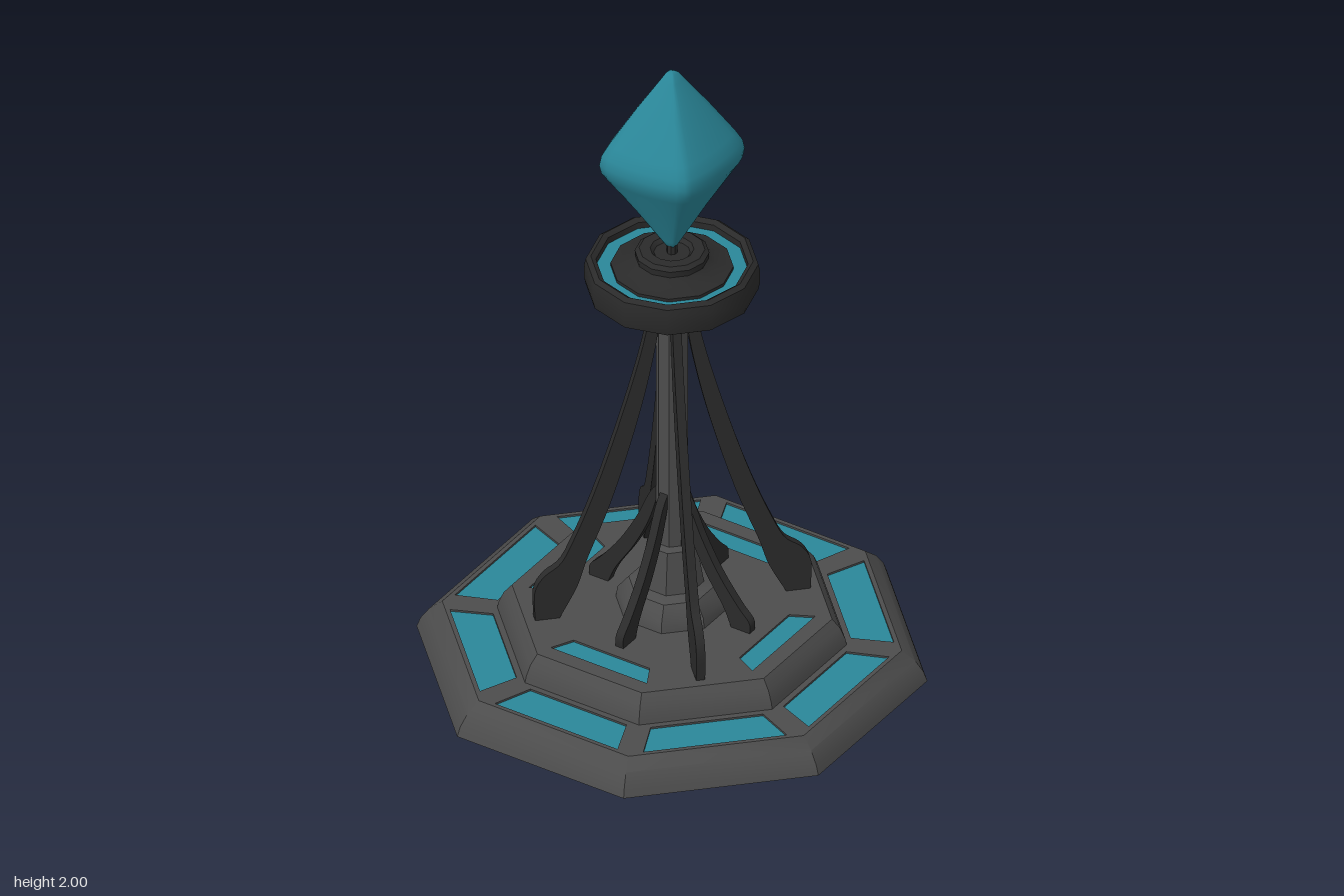
import * as THREE from 'three';
import { mergeVertices, toCreasedNormals } from 'three/addons/utils/BufferGeometryUtils.js';

const stone = new THREE.MeshStandardMaterial({ color: 0x4c4c4c });
const dark = new THREE.MeshStandardMaterial({ color: 0x2a2a2a });
const teal = new THREE.MeshStandardMaterial({ color: 0x2a8799 });

function add(parent, name, geometry, material) {
  const mesh = new THREE.Mesh(geometry, material);
  mesh.name = name;
  parent.add(mesh);
  return mesh;
}

// Regular prism-like solid: profile radii are measured to the flat sides
function faceted(profile, sides, crease = 0.6) {
  const k = 1 / Math.cos(Math.PI / sides);
  const pts = profile.map(([r, y]) => new THREE.Vector2(r * k, y));
  return toCreasedNormals(new THREE.LatheGeometry(pts, sides, Math.PI / sides), crease);
}

const shapeOf = (pts) => new THREE.Shape(pts.map(([x, y]) => new THREE.Vector2(x, y)));

// Corners of a trapezoid lying at a distance from the centre, turned by an angle
function trapezoid({ inner, outer, wIn, wOut }, angle, grow = 0) {
  const c = Math.cos(angle), s = Math.sin(angle);
  return [
    [inner - grow, -wIn - grow], [outer + grow, -wOut - grow],
    [outer + grow, wOut + grow], [inner - grow, wIn + grow],
  ].map(([x, y]) => [x * c - y * s, x * s + y * c]);
}

// Octagonal plate with recessed teal panels
function panelledPlate(parent, name, apothem, top, panel, angles) {
  const depth = 0.012;
  const R = apothem / Math.cos(Math.PI / 8);
  const outline = shapeOf(Array.from({ length: 8 }, (_, i) => {
    const a = (i + 0.5) * Math.PI / 4;
    return [R * Math.cos(a), R * Math.sin(a)];
  }));
  for (const a of angles) outline.holes.push(new THREE.Path(shapeOf(trapezoid(panel, a)).getPoints()));
  const plate = new THREE.ExtrudeGeometry(outline, { depth, bevelEnabled: false });
  plate.rotateX(-Math.PI / 2).translate(0, top - depth, 0);
  add(parent, name, plate, stone);
  for (const a of angles) {
    const g = new THREE.ExtrudeGeometry(shapeOf(trapezoid(panel, a, 0.004)), { depth: 0.01, bevelEnabled: false });
    g.rotateX(-Math.PI / 2).translate(0, top - 0.016, 0);
    add(parent, name + 'Panel', g, teal);
  }
}

// Curved upright fin: smooth outer and inner edges, given thickness
function finGeometry(outer, inner, thickness) {
  const curve = (pts) => new THREE.CatmullRomCurve3(
    pts.map(([x, y]) => new THREE.Vector3(x, y, 0)), false, 'centripetal').getPoints(28).map((p) => [p.x, p.y]);
  const shape = shapeOf([...curve(outer), ...curve(inner).reverse()]);
  const g = new THREE.ExtrudeGeometry(shape, { depth: thickness, bevelEnabled: false });
  return toCreasedNormals(g.translate(0, 0, -thickness / 2), 0.6);
}

// Softened four-sided gem, wider in x than in z
function crystalGeometry() {
  const profile = [[0, 1.4], [0.08, 1.403], [0.15, 1.425], [0.5, 1.537], [0.87, 1.646], [0.97, 1.675],
    [1, 1.705], [0.97, 1.735], [0.87, 1.77], [0.5, 1.88], [0.17, 1.97], [0.09, 1.993], [0, 2]];
  const g = new THREE.LatheGeometry(profile.map(([r, y]) => new THREE.Vector2(r, y)), 48);
  const p = g.attributes.position, e = 1.25;
  for (let i = 0; i < p.count; i++) {
    const x = p.getX(i), z = p.getZ(i), r = Math.hypot(x, z);
    if (r < 1e-6) continue;
    const k = Math.pow(Math.pow(Math.abs(x / r) / 0.21, e) + Math.pow(Math.abs(z / r) / 0.18, e), -1 / e);
    p.setXYZ(i, x * k, p.getY(i), z * k);
  }
  g.deleteAttribute('uv');
  g.deleteAttribute('normal');
  const merged = mergeVertices(g, 1e-5);
  merged.computeVertexNormals();
  return merged;
}

export function createModel() {
  const model = new THREE.Group();
  model.name = 'crystalBeacon';
  const eighths = Array.from({ length: 8 }, (_, i) => i * Math.PI / 4);
  const diagonals = eighths.filter((_, i) => i % 2);

  // Two-step octagonal base
  const base = new THREE.Group();
  base.name = 'base';
  model.add(base);
  add(base, 'lowerStep', faceted([[0, 0], [0.678, 0], [0.668, 0.03], [0.645, 0.065], [0.61, 0.095]], 8), stone);
  panelledPlate(base, 'lowerPlate', 0.61, 0.095,
    { inner: 0.482, outer: 0.597, wIn: 0.162, wOut: 0.207 }, eighths);
  add(base, 'upperStep', faceted([[0.465, 0.09], [0.46, 0.115], [0.447, 0.148], [0.425, 0.177]], 8), stone);
  panelledPlate(base, 'upperPlate', 0.425, 0.177,
    { inner: 0.311, outer: 0.377, wIn: 0.128, wOut: 0.162 }, diagonals);

  // Central foot and column
  add(model, 'columnFoot', faceted([[0.15, 0.17], [0.145, 0.21], [0.115, 0.25], [0.085, 0.26],
    [0.065, 0.39], [0.042, 0.395]], 8), stone);
  add(model, 'column', faceted([[0.042, 0.38], [0.042, 1.21]], 8), stone);

  // Four tall fins on the axes, four short fins between them
  const tall = finGeometry(
    [[0.397, 0.17], [0.397, 0.28], [0.37, 0.325], [0.325, 0.36], [0.285, 0.44], [0.22, 0.61], [0.14, 0.87], [0.09, 1.06], [0.06, 1.21]],
    [[0.33, 0.17], [0.275, 0.28], [0.25, 0.36], [0.18, 0.55], [0.1, 0.83], [0.055, 1.04], [0.03, 1.21]], 0.026);
  const short = finGeometry(
    [[0.27, 0.17], [0.27, 0.21], [0.235, 0.25], [0.17, 0.335], [0.11, 0.44], [0.065, 0.54], [0.04, 0.575]],
    [[0.21, 0.17], [0.185, 0.23], [0.12, 0.335], [0.07, 0.44], [0.03, 0.575]], 0.026);
  eighths.forEach((a, i) => {
    add(model, i % 2 ? 'shortFin' : 'tallFin', i % 2 ? short : tall, dark).rotation.y = a;
  });

  // Head: rim, glowing ring and stepped hub
  const head = new THREE.Group();
  head.name = 'head';
  model.add(head);
  add(head, 'rim', faceted([[0.208, 1.26], [0.222, 1.25], [0.236, 1.26], [0.24, 1.28], [0.24, 1.325],
    [0.236, 1.345], [0.222, 1.355], [0.208, 1.345], [0.208, 1.26]], 12), dark);
  add(head, 'glowRing', faceted([[0.15, 1.285], [0.212, 1.285], [0.212, 1.325], [0.15, 1.325]], 12), teal);
  add(head, 'hub', faceted([[0, 1.2], [0.06, 1.2], [0.09, 1.25], [0.1, 1.265], [0.168, 1.275], [0.168, 1.335],
    [0.12, 1.345], [0.1, 1.36], [0.102, 1.38], [0.09, 1.39], [0.06, 1.39], [0.05, 1.378], [0, 1.378]], 12), dark);
  add(head, 'pin', faceted([[0.014, 1.37], [0.014, 1.42]], 8), dark);

  add(model, 'crystal', crystalGeometry(), teal);
  return model;
}
